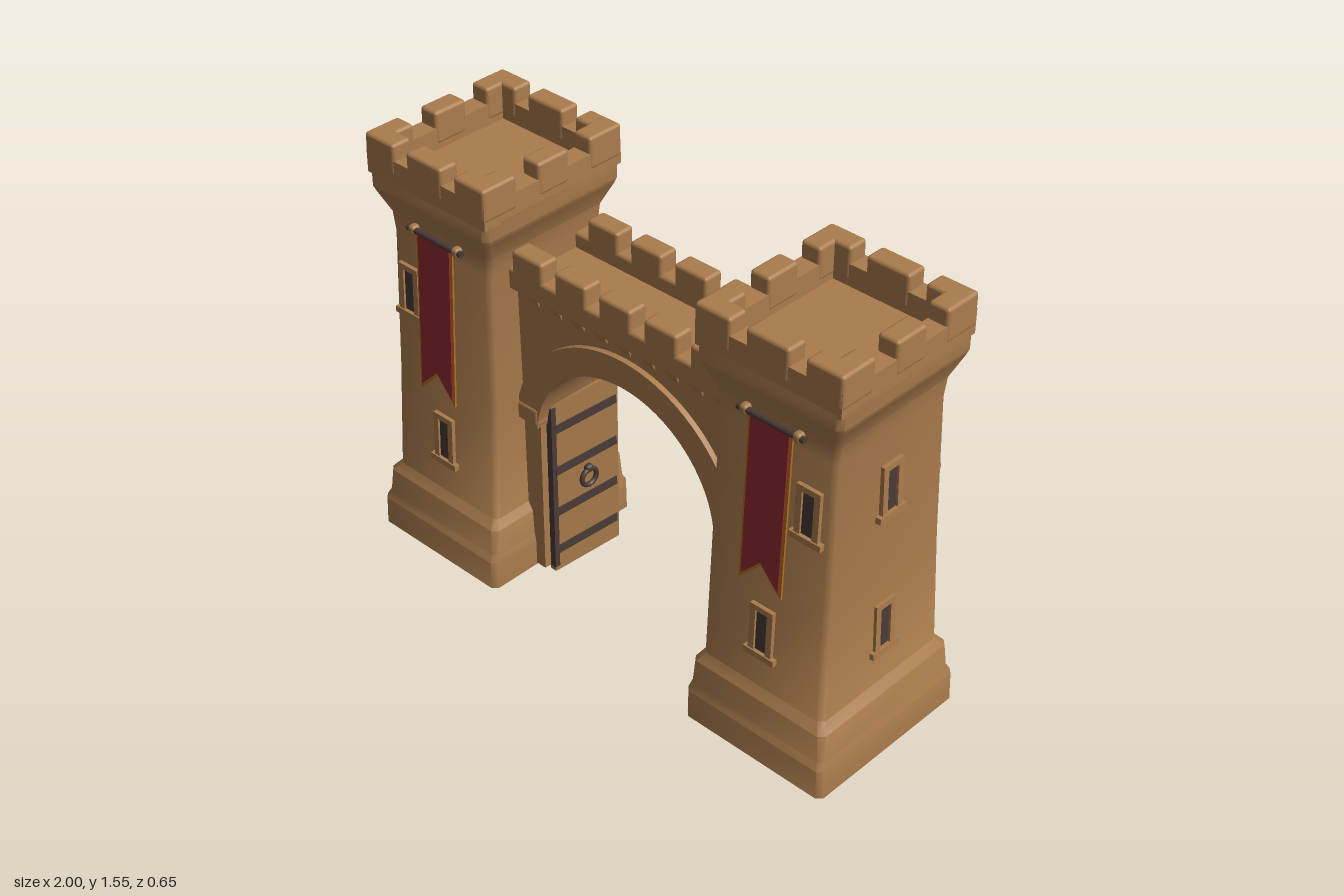
import * as THREE from 'three';
import { toCreasedNormals } from 'three/addons/utils/BufferGeometryUtils.js';
import { RoundedBoxGeometry } from 'three/addons/geometries/RoundedBoxGeometry.js';

const material = (name, color, side = THREE.FrontSide) => {
  const m = new THREE.MeshStandardMaterial({ color, side });
  m.name = name;
  return m;
};

export function createModel() {
  const stone = material('stone', 0xab7c4d);
  const wood = material('wood', 0xa5784a);
  const iron = material('dark iron', 0x4a3a37);
  const cloth = material('red cloth', 0x932a30);
  const trim = material('gold trim', 0xb56f22);
  const model = new THREE.Group();
  model.name = 'castleGate';

  const add = (parent, name, geo, mat, x = 0, y = 0, z = 0) => {
    const mesh = new THREE.Mesh(geo, mat);
    mesh.name = name;
    mesh.position.set(x, y, z);
    parent.add(mesh);
    return mesh;
  };
  const group = (parent, name, x = 0, y = 0, z = 0, turn = 0) => {
    const g = new THREE.Group();
    g.name = name;
    g.position.set(x, y, z);
    g.rotation.y = turn;
    parent.add(g);
    return g;
  };
  const box = (w, h, d) => new THREE.BoxGeometry(w, h, d);
  const block = (w, h, d) => new RoundedBoxGeometry(w, h, d, 2, 0.012);
  const extrude = (shape, depth) => new THREE.ExtrudeGeometry(shape, { depth, bevelEnabled: false, curveSegments: 32 });

  // Loft through chamfered rectangles: [y, half width, half depth, x offset]
  const loft = (rings, c = 0.018) => {
    const pos = [], index = [], n = 8;
    for (const [y, a, b, dx = 0] of rings) {
      for (const [x, z] of [[a - c, b], [a, b - c], [a, c - b], [a - c, -b], [c - a, -b], [-a, c - b], [-a, b - c], [c - a, b]])
        pos.push(x + dx, y, z);
    }
    for (let r = 0; r < rings.length - 1; r++) {
      for (let i = 0; i < n; i++) {
        const p = r * n + i, q = r * n + (i + 1) % n;
        index.push(p, q, q + n, p, q + n, p + n);
      }
    }
    const t = (rings.length - 1) * n;
    for (let i = 1; i < n - 1; i++) index.push(0, i + 1, i, t, t + i, t + i + 1);
    const g = new THREE.BufferGeometry();
    g.setAttribute('position', new THREE.Float32BufferAttribute(pos, 3));
    g.setIndex(index);
    return toCreasedNormals(g, 0.85);
  };

  // Corbel: a block whose lower end tapers back and inward
  const corbelGeometry = (w, h, d) => {
    const g = box(w, h, d), p = g.attributes.position;
    for (let i = 0; i < p.count; i++) {
      if (p.getY(i) > 0) continue;
      p.setX(i, p.getX(i) * 0.6);
      if (p.getZ(i) > 0) p.setZ(i, -d / 2 + 0.01);
    }
    g.computeVertexNormals();
    return g;
  };

  // Arrow slit with a raised frame, facing +z
  const addWindow = (parent, x, y, z, turn) => {
    const holder = group(parent, 'window', x, y, z, turn);
    const w = group(holder, 'windowFrame');
    w.rotation.x = -0.03;
    add(w, 'slit', box(0.045, 0.15, 0.008), iron, 0, 0, 0.002);
    for (const s of [-1, 1]) add(w, 'windowJamb', box(0.022, 0.18, 0.026), stone, s * 0.034, 0, 0);
    add(w, 'windowLintel', box(0.09, 0.02, 0.026), stone, 0, 0.085, 0);
    add(w, 'windowSill', box(0.12, 0.022, 0.036), stone, 0, -0.087, 0);
  };

  const bannerShape = (i) => {
    const s = new THREE.Shape();
    s.moveTo(-0.083 + i, 0);
    s.lineTo(-0.083 + i, -0.59 + i * 2.2);
    s.lineTo(0, -0.505 + i * 1.2);
    s.lineTo(0.083 - i, -0.59 + i * 2.2);
    s.lineTo(0.083 - i, 0);
    return s;
  };

  for (const s of [-1, 1]) {
    const tower = group(model, s < 0 ? 'rightTower' : 'leftTower', s * 0.705);
    add(tower, 'towerBody', loft([
      [0.015, 0.282, 0.327, s * 0.013], [0.12, 0.28, 0.325, s * 0.012], [0.145, 0.272, 0.312, s * 0.01],
      [0.24, 0.265, 0.305, s * 0.008], [0.27, 0.243, 0.28, s * 0.005], [0.7, 0.234, 0.264], [1.2, 0.225, 0.25],
      [1.27, 0.232, 0.254], [1.345, 0.264, 0.287], [1.365, 0.27, 0.295], [1.42, 0.27, 0.295],
    ]), stone);

    // Battlements around the roof
    for (const e of [-1, 1]) {
      add(tower, 'parapetWall', box(0.54, 0.085, 0.07), stone, 0, 1.4525, e * 0.26);
      add(tower, 'parapetWall', box(0.07, 0.085, 0.59), stone, e * 0.235, 1.4525, 0);
      add(tower, 'merlon', block(0.16, 0.115, 0.075), stone, 0, 1.495, e * 0.26);
      add(tower, 'merlon', block(0.075, 0.115, 0.13), stone, e * 0.235, 1.495, 0);
      for (const f of [-1, 1]) {
        add(tower, 'cornerMerlon', block(0.135, 0.115, 0.075), stone, e * 0.2045, 1.495, f * 0.26);
        add(tower, 'cornerMerlon', block(0.075, 0.115, 0.14), stone, e * 0.235, 1.495, f * 0.2275);
      }
    }
    // Corbels under the battlements
    for (let i = -2; i <= 2; i++) {
      for (const e of [-1, 1]) {
        const front = add(tower, 'corbel', corbelGeometry(0.06, 0.085, 0.05), stone, i * 0.1, 1.32, e * 0.266);
        front.rotation.y = e > 0 ? 0 : Math.PI;
        const side = add(tower, 'corbel', corbelGeometry(0.06, 0.085, 0.05), stone, e * 0.242, 1.32, i * 0.11);
        side.rotation.y = e * Math.PI / 2;
      }
    }
    // Windows on the front, back and outer side
    for (const e of [-1, 1]) {
      const turn = e > 0 ? 0 : Math.PI;
      addWindow(tower, 0, 0.485, e * 0.273, turn);
      addWindow(tower, s * 0.145, 1.0, e * 0.257, turn);
    }
    addWindow(tower, s * 0.239, 0.485, 0, s * Math.PI / 2);
    addWindow(tower, s * 0.23, 1.0, 0, s * Math.PI / 2);

    // Banner and its pole
    const banner = group(tower, 'banner', 0, 1.255, 0.264);
    const sheet = group(banner, 'bannerSheet');
    sheet.rotation.x = -0.042;
    add(sheet, 'bannerTrim', extrude(bannerShape(0), 0.007), trim);
    add(sheet, 'bannerCloth', extrude(bannerShape(0.01), 0.004), cloth, 0, 0, 0.007);
    add(banner, 'bannerPole', new THREE.CylinderGeometry(0.011, 0.011, 0.25, 10), iron, 0, 0, 0.004).rotation.z = Math.PI / 2;
    for (const e of [-1, 1]) add(banner, 'poleBracket', block(0.03, 0.034, 0.035), wood, e * 0.1, 0, 0);

    // Open door leaf standing against the passage wall
    const door = group(model, s < 0 ? 'rightDoor' : 'leftDoor', s * 0.388, 0, 0.1, s > 0 ? 0.2 : -0.06);
    add(door, 'doorLeaf', box(0.028, 0.69, 0.29), wood, 0, 0.345, -0.145);
    for (const y of [0.09, 0.25, 0.42, 0.59]) add(door, 'doorBand', box(0.038, 0.032, 0.27), iron, 0, y, -0.145);
    add(door, 'hingePost', box(0.036, 0.66, 0.02), iron, 0, 0.35, -0.006);
    const ring = add(door, 'doorRing', new THREE.TorusGeometry(0.032, 0.009, 8, 18), iron, -s * 0.024, 0.335, -0.15);
    ring.rotation.y = Math.PI / 2;
    add(door, 'ringBoss', block(0.03, 0.03, 0.03), iron, -s * 0.02, 0.37, -0.15);
  }

  // Wall with the arched passage
  const R = 0.395, springY = 0.58;
  const wallShape = new THREE.Shape();
  wallShape.moveTo(-0.52, 0.02);
  wallShape.lineTo(-R, 0.02);
  wallShape.lineTo(-R, springY);
  wallShape.absarc(0, springY, R, Math.PI, 0, true);
  wallShape.lineTo(R, 0.02);
  wallShape.lineTo(0.52, 0.02);
  wallShape.lineTo(0.52, 1.15);
  wallShape.lineTo(-0.52, 1.15);
  add(model, 'gateWall', toCreasedNormals(extrude(wallShape, 0.3), 0.5), stone, 0, 0, -0.17);

  // Raised arch moulding on both faces
  const ringShape = new THREE.Shape();
  ringShape.absarc(0, springY, R + 0.095, 0.1, Math.PI - 0.1, false);
  ringShape.absarc(0, springY, R - 0.004, Math.PI - 0.1, 0.1, true);
  add(model, 'archMoulding', toCreasedNormals(extrude(ringShape, 0.34), 0.5), stone, 0, 0, -0.19);
  for (const s of [-1, 1]) add(model, 'archImpost', block(0.1, 0.07, 0.35), stone, s * 0.435, 0.66, -0.02);

  // Wall battlements, staggered front to back
  for (const [z, e, shift] of [[0.125, 1, 0], [-0.168, -1, 0.04]]) {
    add(model, 'wallParapet', block(1.0, 0.08, 0.075), stone, 0, 1.165, z);
    for (let i = -2; i <= 2; i++) add(model, 'wallMerlon', block(0.135, 0.12, 0.075), stone, i * 0.19 - 0.02 + shift, 1.215, z);
    for (let i = -4; i <= 4; i++) {
      const c = add(model, 'wallCorbel', corbelGeometry(0.055, 0.07, 0.045), stone, i * 0.1, 1.1, z + e * 0.008);
      c.rotation.y = e > 0 ? 0 : Math.PI;
    }
  }

  // Raised portcullis
  const gate = group(model, 'portcullis', 0, 0, -0.05);
  for (let i = -5; i <= 5; i++) {
    const x = i * 0.058, top = springY + Math.sqrt(R * R - x * x) + 0.01;
    add(gate, 'verticalBar', box(0.018, top - 0.83, 0.02), iron, x, (top + 0.83) / 2, 0);
  }
  for (const [y, half] of [[0.843, 0.3], [0.91, 0.225]]) add(gate, 'crossBar', box(half * 2, 0.024, 0.026), iron, 0, y, 0);

  return model;
}
